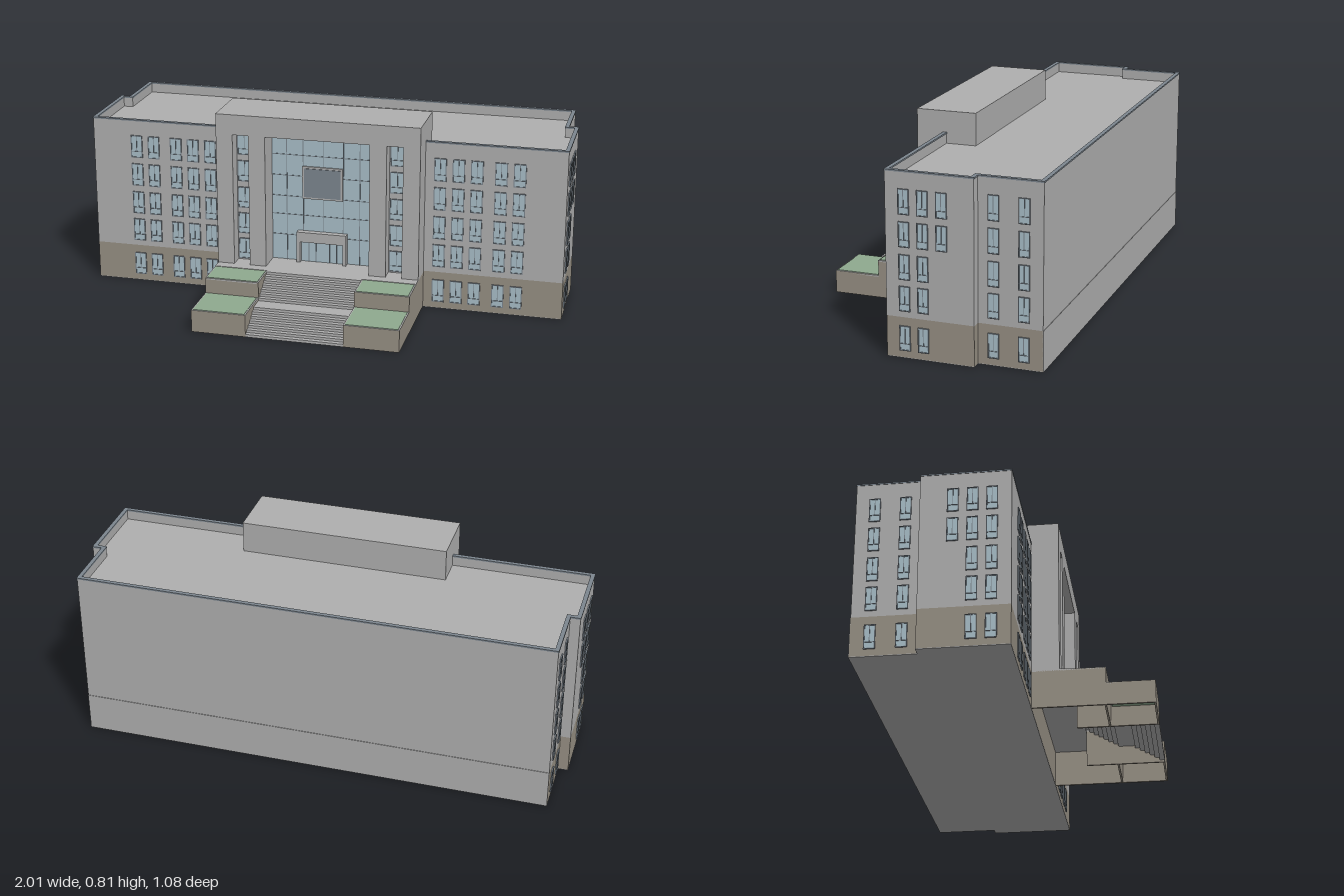
import * as THREE from 'three';

const mat = (name, color) => Object.assign(new THREE.MeshStandardMaterial({ color }), { name });

export function createModel() {
  const M = {
    wall: mat('wall grey', 0xafafaf),
    base: mat('plinth brown', 0x979084),
    glass: mat('glass blue', 0xa9bfc9),
    slate: mat('slate', 0x7c868f),
    green: mat('lawn green', 0x8fa98f),
  };
  const root = new THREE.Group();
  root.name = 'building';

  const add = (name, geo, m, parent = root) => {
    const mesh = new THREE.Mesh(geo, m);
    mesh.name = name;
    parent.add(mesh);
    return mesh;
  };
  // box given by its limits
  const box = (name, m, x0, x1, y0, y1, z0, z1, parent = root) => {
    const g = new THREE.BoxGeometry(x1 - x0, y1 - y0, z1 - z0);
    g.translate((x0 + x1) / 2, (y0 + y1) / 2, (z0 + z1) / 2);
    return add(name, g, m, parent);
  };

  // stepped T-shaped footprint, inset by t (shape y is -z)
  const footprint = t => [
    [-1 + t, -0.055 + t], [1 - t, -0.055 + t], [1 - t, 0.29 - t], [0.96 - t, 0.29 - t],
    [0.96 - t, 0.54 - t], [-0.96 + t, 0.54 - t], [-0.96 + t, 0.29 - t], [-1 + t, 0.29 - t],
  ].map(p => new THREE.Vector2(...p));
  const storey = (name, m, y0, y1, t = 0, hole = 0) => {
    const s = new THREE.Shape(footprint(t));
    if (hole) s.holes.push(new THREE.Path(footprint(hole)));
    const g = new THREE.ExtrudeGeometry(s, { depth: y1 - y0, bevelEnabled: false });
    g.rotateX(-Math.PI / 2);
    g.translate(0, y0, 0);
    return add(name, g, m);
  };

  // main volume
  storey('foundation', M.wall, 0, 0.003);
  storey('plinth', M.base, 0.003, 0.16);
  storey('upperWalls', M.wall, 0.16, 0.675);
  storey('parapet', M.wall, 0.675, 0.714, 0, 0.013);
  storey('parapetCap', M.slate, 0.714, 0.72, -0.002, 0.015);
  box('rearPlinthFace', M.wall, -0.96, 0.96, 0, 0.16, -0.542, -0.538);

  // window: slate frame with three panes over a glass plate
  const makeWindow = (w, h) => {
    const rect = (P, x0, y0, x1, y1) => {
      const p = new P();
      p.moveTo(x0, y0); p.lineTo(x1, y0); p.lineTo(x1, y1); p.lineTo(x0, y1); p.closePath();
      return p;
    };
    const f = 0.0035, b = 0.0012, ty = -h / 2 + h * 0.28;
    const s = rect(THREE.Shape, -w / 2, -h / 2, w / 2, h / 2);
    s.holes.push(
      rect(THREE.Path, -w / 2 + f, -h / 2 + f, w / 2 - f, ty - b),
      rect(THREE.Path, -w / 2 + f, ty + b, -b, h / 2 - f),
      rect(THREE.Path, b, ty + b, w / 2 - f, h / 2 - f));
    const frame = new THREE.ExtrudeGeometry(s, { depth: 0.005, bevelEnabled: false });
    const pane = new THREE.BoxGeometry(w - 0.002, h - 0.002, 0.004);
    return (x, y, z, rot = 0) => {
      const g = new THREE.Group();
      g.name = 'window';
      add('windowFrame', frame, M.slate, g);
      add('windowGlass', pane, M.glass, g);
      g.position.set(x, y, z);
      g.rotation.y = rot;
      root.add(g);
    };
  };
  const frontWindow = makeWindow(0.05, 0.097);
  const sideWindow = makeWindow(0.043, 0.097);
  const porchWindow = makeWindow(0.06, 0.09);
  const rows = [0.078, 0.232, 0.354, 0.479, 0.603];

  for (const s of [-1, 1]) {
    rows.forEach((y, i) => {
      for (const x of [0.487, 0.562, 0.637, 0.735, 0.81]) frontWindow(s * x, y, 0.055);
      const rot = s * Math.PI / 2;
      for (const z of [-0.018, -0.091]) sideWindow(s, y, z, 0 + rot);
      if (i > 2) sideWindow(s, y, -0.165, rot);
      for (const z of [-0.35, -0.467]) sideWindow(s * 0.96, y, z, rot);
    });
  }

  // portico: top block, piers and window bays
  box('porticoTop', M.wall, -0.425, 0.425, 0.72, 0.805, -0.08, 0.165);
  box('porticoNeck', M.wall, -0.425, 0.425, 0.67, 0.72, -0.08, 0.054);
  for (const s of [-1, 1]) {
    const sbox = (name, m, a, b, ...r) => box(name, m, Math.min(s * a, s * b), Math.max(s * a, s * b), ...r);
    sbox('outerPier', M.wall, 0.355, 0.425, 0.16, 0.72, 0.05, 0.165);
    sbox('innerPier', M.wall, 0.218, 0.288, 0.16, 0.72, 0.05, 0.165);
    sbox('bayWall', M.wall, 0.288, 0.355, 0.16, 0.72, 0.05, 0.105);
    for (const y of [0.21, 0.322, 0.435, 0.55, 0.665]) porchWindow(s * 0.3215, y, 0.105);

    // planter blocks, open underneath
    for (const [name, z0, z1, y] of [['rear', 0.21, 0.345, 0.16], ['front', 0.345, 0.535, 0.095]]) {
      sbox(name + 'PlanterOuterWall', M.base, 0.417, 0.425, 0, y - 0.003, z0, z1);
      sbox(name + 'PlanterInnerWall', M.base, 0.2, 0.208, 0, y - 0.003, z0, z1);
      sbox(name + 'PlanterFace', M.base, 0.2, 0.425, 0, y - 0.003, z1 - 0.008, z1);
      sbox(name + 'PlanterRim', M.wall, 0.2, 0.425, y - 0.008, y - 0.002, z0, z1);
      sbox(name + 'Lawn', M.green, 0.206, 0.419, y - 0.012, y, z0 + 0.005, z1 - 0.005);
    }
    sbox('porchSideWall', M.base, 0.417, 0.425, 0, 0.155, 0.05, 0.21);
  }
  box('porchFloor', M.wall, -0.425, 0.425, 0.152, 0.16, 0.05, 0.21);

  // curtain wall with mullions
  box('curtainGlass', M.glass, -0.218, 0.218, 0.16, 0.72, 0.05, 0.058);
  for (const x of [-0.155, -0.085, 0, 0.085, 0.155])
    box('mullion', M.slate, x - 0.0015, x + 0.0015, 0.16, 0.72, 0.056, 0.06);
  for (const y of [0.27, 0.36, 0.44, 0.53, 0.62])
    box('transom', M.slate, -0.218, 0.218, y - 0.0015, y + 0.0015, 0.056, 0.06);
  box('panelFrame', M.wall, -0.088, 0.083, 0.435, 0.575, 0.056, 0.064);
  box('panel', M.slate, -0.08, 0.075, 0.443, 0.567, 0.06, 0.067);

  // entrance surround and doors
  box('entranceLintel', M.wall, -0.108, 0.103, 0.25, 0.293, 0.055, 0.085);
  for (const x of [-0.108, 0.088]) box('entranceJamb', M.wall, x, x + 0.015, 0.16, 0.25, 0.055, 0.085);
  box('doorGlass', M.glass, -0.093, 0.088, 0.16, 0.25, 0.058, 0.064);
  for (const x of [-0.06, -0.03, 0.028, 0.058])
    box('doorMullion', M.slate, x - 0.0015, x + 0.0015, 0.16, 0.25, 0.062, 0.066);

  // two flights of thin steps with a landing between them
  const n = 7, rise = 0.16 / (2 * n), run = 0.02;
  const flight = (z, y) => {
    for (let i = 0; i < n; i++) {
      const zf = z - i * run, yt = y + (i + 1) * rise;
      box('riser', M.wall, -0.2, 0.2, yt - rise, yt, zf - 0.002, zf);
      box('tread', M.wall, -0.2, 0.2, yt - 0.002, yt, zf - run, zf);
    }
  };
  flight(0.535, 0);
  box('landing', M.wall, -0.2, 0.2, 0.078, 0.08, 0.345, 0.395);
  flight(0.345, 0.08);

  return root;
}
